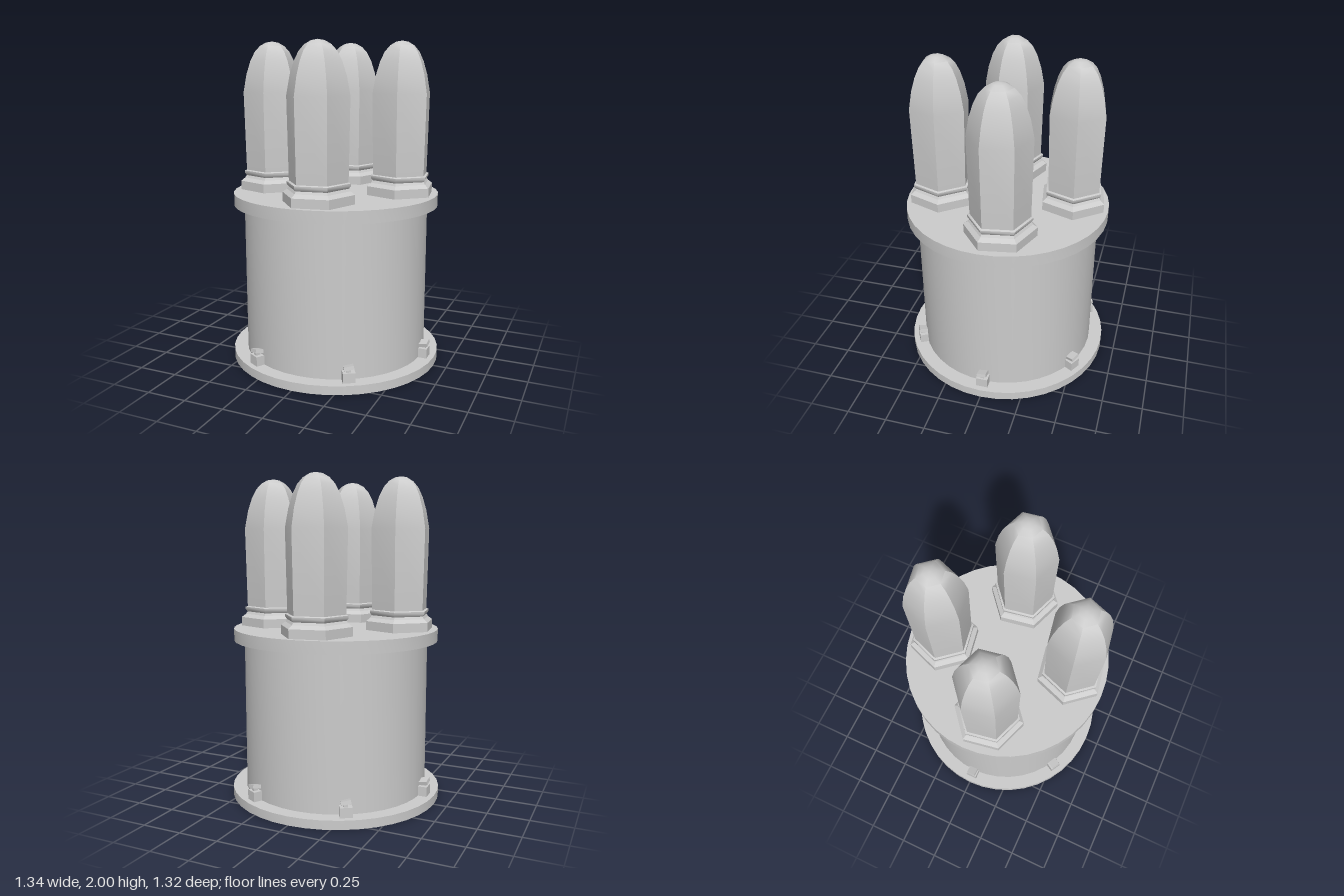
import * as THREE from 'three';
import { toCreasedNormals } from 'three/addons/utils/BufferGeometryUtils.js';

const SIDES = 40;

export function createModel() {
  const group = new THREE.Group();
  const grey = new THREE.MeshStandardMaterial({ color: 0xcccccc, side: THREE.DoubleSide });
  grey.name = 'plain grey';

  // Revolved part from [radius, height] pairs, with edges kept sharp above the crease angle
  function turned(name, profile, sides, crease, parent) {
    const points = profile.map(([r, y]) => new THREE.Vector2(r, y));
    const mesh = new THREE.Mesh(toCreasedNormals(new THREE.LatheGeometry(points, sides), crease), grey);
    mesh.name = name;
    parent.add(mesh);
    return mesh;
  }

  // Open drum with a hollow-lipped base flange and a closed top flange
  const drum = new THREE.Group();
  drum.name = 'drum';
  drum.scale.z = 0.985;
  group.add(drum);
  turned('drumWall', [[0.58, 0.05], [0.58, 1.0]], SIDES, 0.6, drum);
  turned('baseFlange', [[0.655, 0.05], [0.655, 0], [0.668, 0], [0.668, 0.055], [0.58, 0.055]], SIDES, 0.6, drum);
  turned('topFlange', [[0.58, 1.0], [0.645, 1.0], [0.645, 1.075], [0, 1.075]], SIDES, 0.6, drum);

  // Six clamps around the base flange
  for (let i = 0; i < 6; i++) {
    const clamp = new THREE.Group();
    clamp.name = 'clamp';
    clamp.rotation.y = i * Math.PI / 3;
    const addBox = (name, w, h, d, x, y, tilt = 0) => {
      const mesh = new THREE.Mesh(new THREE.BoxGeometry(w, h, d), grey);
      mesh.name = name;
      mesh.position.set(x, y, 0);
      mesh.rotation.set(tilt, 0, tilt);
      clamp.add(mesh);
    };
    addBox('clampBlock', 0.06, 0.07, 0.075, 0.602, 0.08);
    addBox('clampStem', 0.03, 0.03, 0.025, 0.605, 0.125);
    addBox('clampCap', 0.055, 0.022, 0.06, 0.605, 0.14, 0.2);
    drum.add(clamp);
  }

  // Four six-sided rounded pillars, each on a wider nut
  const nut = [[0.217, 1.07], [0.217, 1.13], [0.19, 1.15], [0.18, 1.165]];
  const pillar = [
    [0.18, 1.165], [0.192, 1.18], [0.192, 1.195], [0.178, 1.2], [0.187, 1.69],
    [0.166, 1.8], [0.14, 1.88], [0.112, 1.935], [0.078, 1.972], [0.04, 1.993], [0, 2.0],
  ];
  for (let i = 0; i < 4; i++) {
    const turn = new THREE.Group();
    turn.name = 'pillarPlacement';
    turn.rotation.y = i * Math.PI / 2;
    const post = new THREE.Group();
    post.name = 'pillar';
    post.position.set(-0.405, 0, 0.065);
    post.rotation.y = Math.PI / 2 - THREE.MathUtils.degToRad(20);
    turned('pillarNut', nut, 6, 0.3, post);
    turned('pillarBody', pillar, 6, 0.75, post);
    turn.add(post);
    group.add(turn);
  }

  return group;
}
